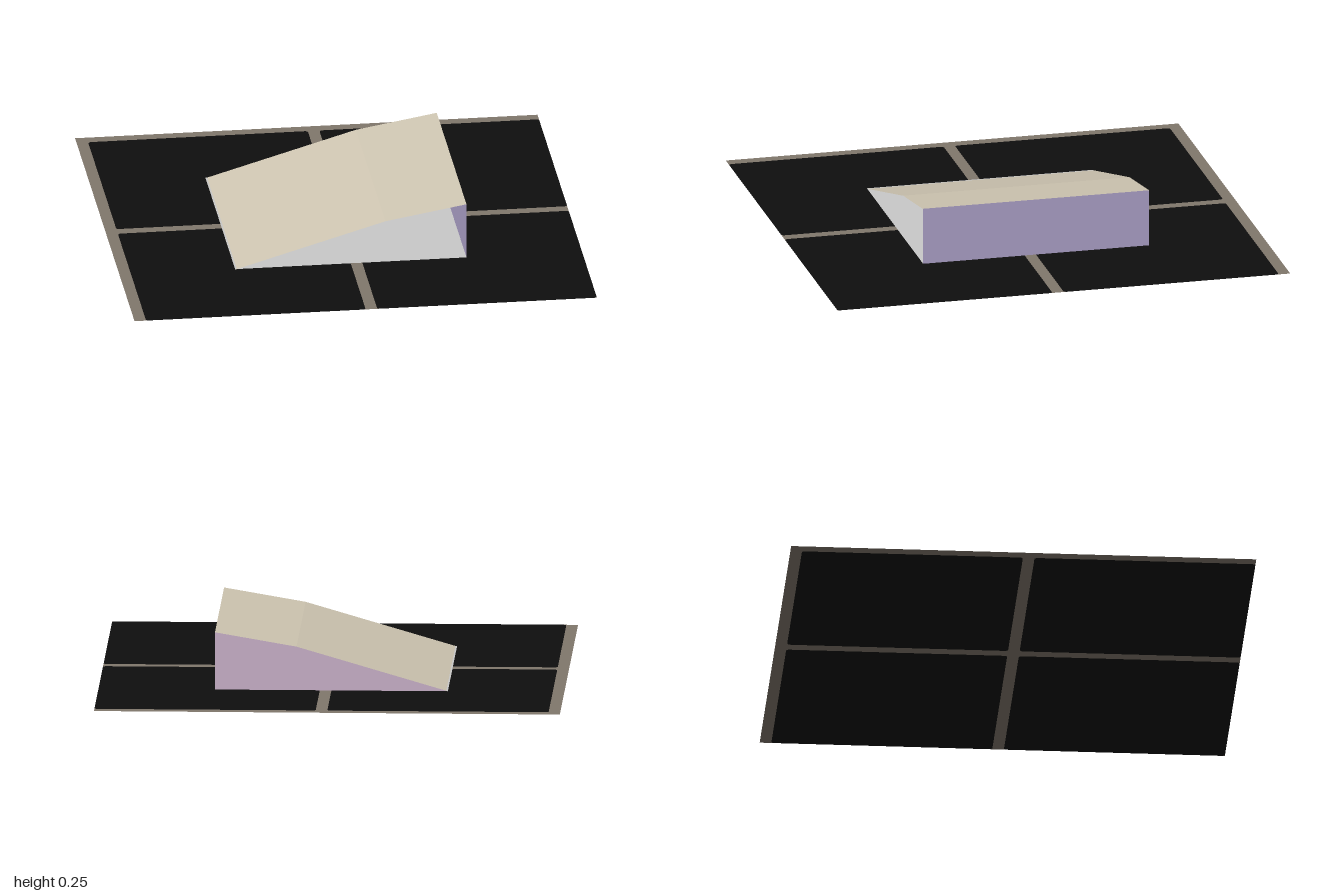
import * as THREE from 'three';

const mat = (name, color) => {
  const m = new THREE.MeshStandardMaterial({ color, side: THREE.DoubleSide });
  m.name = name;
  return m;
};

// Square outline with slightly rounded corners
function roundedSquare(target, x, y, size, r) {
  const a = x + size, b = y + size;
  target.moveTo(x + r, y);
  target.lineTo(a - r, y).quadraticCurveTo(a, y, a, y + r);
  target.lineTo(a, b - r).quadraticCurveTo(a, b, a - r, b);
  target.lineTo(x + r, b).quadraticCurveTo(x, b, x, b - r);
  target.lineTo(x, y + r).quadraticCurveTo(x, y, x + r, y);
  return target;
}

export function createModel() {
  const model = new THREE.Group();
  model.name = 'rampOnTiles';
  const black = mat('black tile', 0x0e0e0e);
  const grey = mat('warm grey grout', 0x80776c);
  const cream = mat('cream', 0xd0c7b3);
  const pink = mat('dusty pink', 0xc9b0c9);
  const purple = mat('soft purple', 0xb0a4cc);
  const white = mat('pale grey', 0xc8c8c8);

  const add = (name, geometry, material, parent) => {
    const mesh = new THREE.Mesh(geometry, material);
    mesh.name = name;
    parent.add(mesh);
    return mesh;
  };

  // Floor: four tiles set into a grid of grout, all in one plane
  const floor = new THREE.Group();
  floor.name = 'floor';
  model.add(floor);
  const grout = new THREE.Shape([[-1, -1], [1, -1], [1, 1], [-1, 1]].map(p => new THREE.Vector2(...p)));
  for (const x of [-0.95, 0.05]) {
    for (const y of [-1, 0]) {
      grout.holes.push(roundedSquare(new THREE.Path(), x, y, 0.95, 0.015));
      const tile = roundedSquare(new THREE.Shape(), x, y, 0.95, 0.015);
      add('tile', new THREE.ShapeGeometry(tile, 4).rotateX(-Math.PI / 2), black, floor);
    }
  }
  add('grout', new THREE.ShapeGeometry(grout, 4).rotateX(-Math.PI / 2), grey, floor);

  // Ramp: hollow shell, open at the front
  const ramp = new THREE.Group();
  ramp.name = 'ramp';
  model.add(ramp);
  const h = 0.5;
  const profile = [[-h, 0], [0.15, 0.19], [h, 0.25]];

  // Strip of flat panels swept along z between profile points
  const strip = points => {
    const v = [];
    for (let i = 0; i < points.length - 1; i++) {
      const [x0, y0] = points[i], [x1, y1] = points[i + 1];
      v.push(x0, y0, h, x1, y1, h, x1, y1, -h, x0, y0, h, x1, y1, -h, x0, y0, -h);
    }
    const g = new THREE.BufferGeometry();
    g.setAttribute('position', new THREE.Float32BufferAttribute(v, 3));
    g.computeVertexNormals();
    return g;
  };
  add('rampSurface', strip(profile), cream, ramp);
  add('rampEndWall', strip([[h, 0.25], [h, 0]].reverse()), purple, ramp);
  add('rampBase', strip([[-h, 0.002], [h, 0.002]]), white, ramp);

  // Back wall, facing away from the front
  const side = new THREE.Shape([...profile, [h, 0]].map(p => new THREE.Vector2(p[0], p[1])));
  const back = new THREE.ShapeGeometry(side);
  back.scale(-1, 1, 1).rotateY(Math.PI).translate(0, 0, -h);
  // Mirroring reversed the winding, so flip the corners and face -z
  const index = back.index.array;
  for (let i = 0; i < index.length; i += 3) [index[i], index[i + 1]] = [index[i + 1], index[i]];
  const p = back.attributes.position, n = back.attributes.normal;
  const [a, b, c] = [0, 1, 2].map(i => new THREE.Vector3().fromBufferAttribute(p, index[i]));
  const facing = b.sub(a).cross(c.sub(a)).normalize();
  for (let i = 0; i < n.count; i++) n.setXYZ(i, 0, 0, Math.sign(facing.z));
  add('rampBackWall', back, pink, ramp);

  return model;
}
